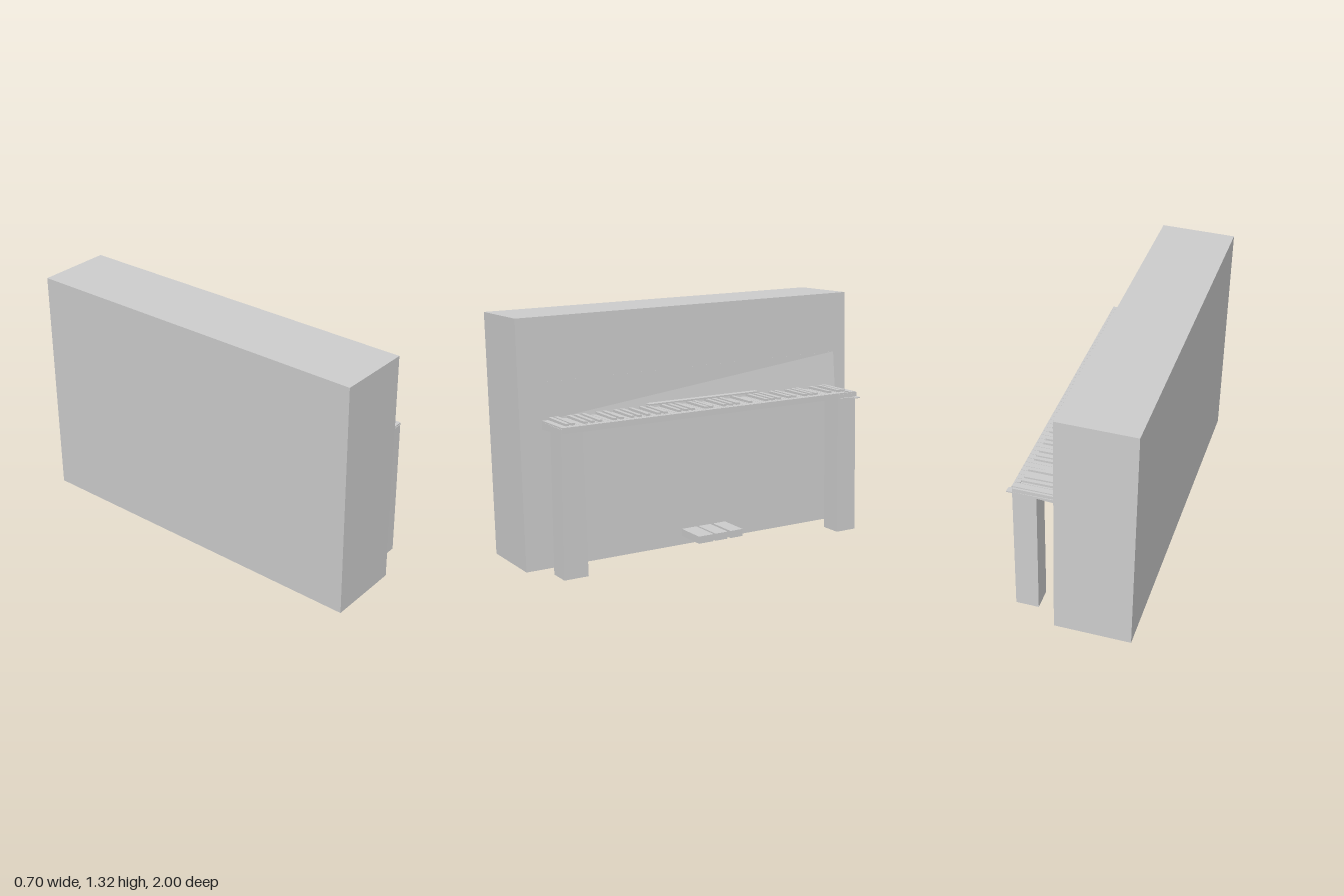
import * as THREE from 'three';

const material = new THREE.MeshStandardMaterial({ color: 0xcccccc, flatShading: true, side: THREE.DoubleSide });

// The whole instrument leans slightly: heights fall towards +z.
const lean = (z) => -0.0125 * z;

function addMesh(parent, name, geometry) {
  geometry.computeVertexNormals();
  const mesh = new THREE.Mesh(geometry, material);
  mesh.name = name;
  parent.add(mesh);
  return mesh;
}

// Box whose bottom and top are separate rectangles [x0, x1, z0, z1, y]; rise = slope of y along x
function tapered(parent, name, bottom, top, rise = 0.026) {
  const geometry = new THREE.BoxGeometry(1, 1, 1);
  const p = geometry.attributes.position;
  for (let i = 0; i < p.count; i++) {
    const [x0, x1, z0, z1, y] = p.getY(i) < 0 ? bottom : top;
    const x = p.getX(i) < 0 ? x0 : x1;
    const z = p.getZ(i) < 0 ? z0 : z1;
    p.setXYZ(i, x, y + lean(z) + rise * (x - x0), z);
  }
  return addMesh(parent, name, geometry);
}

const slab = (parent, name, x0, x1, z0, z1, y0, y1, rise) =>
  tapered(parent, name, [x0, x1, z0, z1, y0], [x0, x1, z0, z1, y1], rise);

export function createModel() {
  const model = new THREE.Group();
  model.name = 'uprightPiano';

  // Tall cabinet
  tapered(model, 'cabinet', [-0.318, 0.091, -1, 0.985, 0.0125], [-0.353, 0.057, -0.985, 1, 1.302]);

  // Key bed: underside climbs towards the front
  const bed = slab(model, 'keyBed', 0.075, 0.314, -0.895, 0.875, 0.745, 0.787, 0.026);
  const bp = bed.geometry.attributes.position;
  for (let i = 0; i < bp.count; i++) {
    const z = bp.getZ(i);
    const low = bp.getY(i) - lean(z) < 0.77;
    if (low) bp.setY(i, (bp.getX(i) > 0.2 ? 0.767 : 0.746) + lean(z));
  }
  bed.geometry.computeVertexNormals();

  // Legs
  tapered(model, 'leftLeg', [0.195, 0.318, 0.745, 0.878, 0.024], [0.18, 0.311, 0.765, 0.877, 0.787]);
  tapered(model, 'rightLeg', [0.21, 0.333, -0.89, -0.77, 0.018], [0.195, 0.32, -0.88, -0.765, 0.788]);

  // White keys
  const keys = new THREE.Group();
  keys.name = 'keys';
  model.add(keys);
  const count = 52, start = -0.885, pitch = 1.76 / count;
  for (let i = 0; i < count; i++) {
    const z = start + i * pitch;
    slab(keys, 'whiteKey', 0.077, 0.319, z + 0.001, z + pitch - 0.001, 0.782, 0.793);
  }

  // Black keys
  const blackZ = [-0.83, -0.8, -0.74, -0.65, -0.62, -0.58, -0.51, -0.475, -0.41, -0.37, -0.33, -0.23,
    -0.15, -0.11, -0.07, 0.01, 0.04, 0.12, 0.16, 0.2, 0.28, 0.32, 0.38, 0.43, 0.47, 0.53, 0.57,
    0.65, 0.69, 0.73, 0.8, 0.83];
  for (const z of blackZ) slab(keys, 'blackKey', 0.08, 0.281, z - 0.01, z + 0.01, 0.79, 0.807, 0.012);
  slab(keys, 'raisedKey', 0.285, 0.305, -0.85, -0.83, 0.785, 0.803, 0);

  // Narrow ledge behind the keys
  slab(model, 'ledge', 0.08, 0.117, -0.38, 0.29, 0.812, 0.82, 0);

  // Fallboard: flush with the cabinet at one end, standing out at the other
  const board = tapered(model, 'fallboard', [0.04, 0.095, -0.905, 0.85, 0.79], [0.04, 0.066, -0.91, 0.85, 0.985], 0);
  const fp = board.geometry.attributes.position;
  for (let i = 0; i < fp.count; i++) {
    if (fp.getZ(i) > 0 && fp.getX(i) > 0.05) fp.setX(i, fp.getY(i) > 0.9 ? 0.066 : 0.071);
  }
  board.geometry.computeVertexNormals();

  // Thin end plate jutting past the right end of the key bed
  const outline = [[0.06, 0.912], [0.09, 0.9], [0.346, 0.895], [0.344, 0.865], [0.333, 0.86], [0.33, 0.78], [0.31, 0.78], [0.08, 0.86]];
  const shape = new THREE.Shape(outline.map(([x, z]) => new THREE.Vector2(x, z)));
  const plate = new THREE.ExtrudeGeometry(shape, { depth: 0.006, bevelEnabled: false });
  plate.rotateX(-Math.PI / 2).translate(0, 0.776, 0);
  addMesh(model, 'endPlate', plate);

  // Pedals
  for (const [z0, z1] of [[-0.185, -0.11], [-0.092, -0.017], [-0.005, 0.085]]) {
    slab(model, 'pedal', 0.098, 0.28, z0, z1, 0.074, 0.113, 0.02);
  }
  return model;
}
